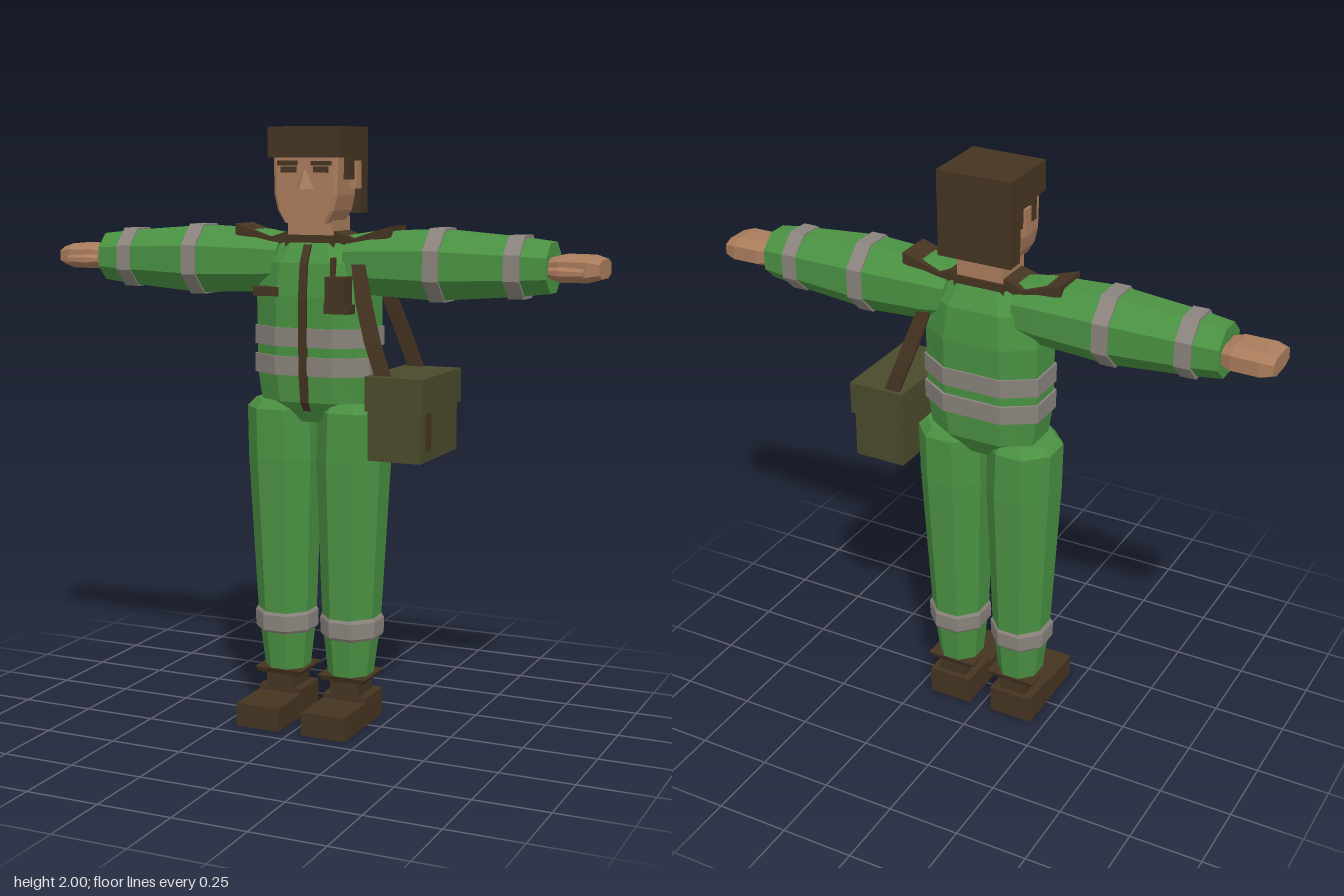
import * as THREE from 'three';

const mat = (name, color) => Object.assign(new THREE.MeshStandardMaterial({ color }), { name });

// Cross-section of half size 1 whose corners are cut by c (0 = square, 1 = diamond)
function ring(c) {
  const k = 1 - c;
  if (c === 0) return [[1, -1], [1, 1], [-1, 1], [-1, -1]];
  if (c === 1) return [[1, 0], [0, 1], [-1, 0], [0, -1]];
  return [[1, -k], [1, k], [k, 1], [-k, 1], [-1, k], [-1, -k], [-k, -1], [k, -1]];
}

// Faceted solid through sections [y, centreX, centreZ, halfX, halfZ], listed upwards
function loft(sections, c = 0.586) {
  const unit = ring(c), n = unit.length, pos = [];
  const rows = sections.map(([y, cx, cz, hx, hz]) => unit.map(([x, z]) => [cx + x * hx, y, cz + z * hz]));
  const tri = (...pts) => pts.forEach(p => pos.push(...p));
  for (let i = 0; i < rows.length - 1; i++) {
    for (let j = 0; j < n; j++) {
      const k = (j + 1) % n, lo = rows[i], hi = rows[i + 1];
      tri(lo[j], hi[j], hi[k]);
      tri(lo[j], hi[k], lo[k]);
    }
  }
  const bottom = rows[0], top = rows[rows.length - 1];
  for (let j = 1; j < n - 1; j++) {
    tri(bottom[0], bottom[j], bottom[j + 1]);
    tri(top[0], top[j + 1], top[j]);
  }
  const g = new THREE.BufferGeometry();
  g.setAttribute('position', new THREE.Float32BufferAttribute(pos, 3));
  g.computeVertexNormals();
  return g;
}

// Box given by its limits
function block(x0, x1, y0, y1, z0, z1) {
  return new THREE.BoxGeometry(x1 - x0, y1 - y0, z1 - z0)
    .translate((x0 + x1) / 2, (y0 + y1) / 2, (z0 + z1) / 2);
}

export function createModel() {
  const green = mat('overall green', 0x4a9142);
  const grey = mat('reflective grey', 0x8a837d);
  const skin = mat('skin', 0xa97b5c);
  const brown = mat('dark brown', 0x453421);
  const olive = mat('bag olive', 0x4a4a2c);

  const model = new THREE.Group();
  model.name = 'worker';
  const add = (name, geometry, material, parent = model) => {
    const m = new THREE.Mesh(geometry, material);
    m.name = name;
    parent.add(m);
    return m;
  };
  const Z = -0.047;

  // Torso with two reflective bands
  add('torso', loft([
    [1.03, 0, Z, 0.09, 0.07], [1.1, 0, Z, 0.185, 0.115], [1.2, 0, Z, 0.2, 0.122],
    [1.45, 0, Z, 0.2, 0.13], [1.56, 0, Z, 0.18, 0.118], [1.625, 0, Z, 0.13, 0.085],
  ], 0.5), green);
  for (const y of [1.19, 1.285]) {
    add('waistBand', loft([[y, 0, Z, 0.207, 0.13], [y + 0.063, 0, Z, 0.207, 0.133]], 0.5), grey);
  }

  // Chest details
  add('zipper', loft([
    [1.07, 0, 0.045, 0.013, 0.008], [1.1, 0, 0.07, 0.013, 0.008], [1.2, 0, 0.085, 0.013, 0.008],
    [1.45, 0, 0.087, 0.013, 0.008], [1.56, 0, 0.075, 0.013, 0.008], [1.62, 0, 0.042, 0.013, 0.008],
  ], 0), brown);
  add('namePatch', block(-0.18, -0.09, 1.45, 1.48, 0.035, 0.088), brown);
  add('radio', block(0.09, 0.16, 1.43, 1.52, 0.05, 0.115), brown);
  add('radioPouch', block(0.08, 0.17, 1.4, 1.43, 0.05, 0.1), brown);
  add('radioAntenna', block(0.095, 0.108, 1.5, 1.58, 0.06, 0.08), brown);

  // Head
  const head = new THREE.Group();
  head.name = 'head';
  model.add(head);
  add('neck', block(-0.08, 0.08, 1.6, 1.71, -0.115, 0.03), skin, head);
  add('neckCollar', block(-0.088, 0.088, 1.61, 1.65, -0.125, 0.035), brown, head);
  add('face', loft([
    [1.69, 0, -0.01, 0.075, 0.08], [1.73, 0, -0.01, 0.1, 0.08],
    [1.78, 0, -0.01, 0.112, 0.08], [1.91, 0, -0.01, 0.115, 0.08],
  ], 0.1), skin, head);
  add('nose', loft([[1.8, 0, 0.07, 0.032, 0.042], [1.86, 0, 0.07, 0.004, 0.004]], 1), skin, head);
  add('hairTop', block(-0.128, 0.128, 1.9, 2, -0.153, 0.08), brown, head);
  add('hairBack', block(-0.127, 0.127, 1.72, 1.9, -0.153, -0.088), brown, head);

  for (const s of [1, -1]) {
    const side = s > 0 ? 'left' : 'right';
    const span = (a, b, ...rest) => block(Math.min(s * a, s * b), Math.max(s * a, s * b), ...rest);

    // Eyes, sideburns and ears
    add(side + 'Eye', span(0.03, 0.085, 1.852, 1.872, 0.065, 0.073), brown, head);
    add(side + 'Brow', span(0.025, 0.095, 1.875, 1.89, 0.065, 0.078), brown, head);
    add(side + 'Sideburn', span(0.1, 0.13, 1.83, 1.9, -0.09, 0.015), brown, head);
    add(side + 'Ear', span(0.1, 0.138, 1.8, 1.89, -0.075, -0.035), skin, head);

    // Arm: lofted upwards, then turned outwards
    const arm = new THREE.Group();
    arm.name = side + 'Arm';
    arm.position.y = 1.56;
    arm.rotation.z = -s * Math.PI / 2;
    model.add(arm);
    add('sleeve', loft([
      [0.12, 0, Z, 0.09, 0.09], [0.2, 0, Z, 0.103, 0.1], [0.43, 0, Z, 0.113, 0.113],
      [0.7, 0, Z, 0.092, 0.096], [0.805, 0, Z, 0.08, 0.084],
    ]), green, arm);
    for (const [y, r] of [[0.408, 0.118], [0.67, 0.1]]) {
      add('sleeveBand', loft([[y, 0, Z, r, r], [y + 0.053, 0, Z, r, r]]), grey, arm);
    }
    add('hand', loft([
      [0.79, 0, Z, 0.03, 0.06], [0.84, 0, Z, 0.043, 0.08],
      [0.93, 0, Z, 0.042, 0.083], [0.97, 0, Z, 0.03, 0.07],
    ], 0.45), skin, arm);
    add('thumb', loft([
      [0.81, s * 0.01, 0.02, 0.015, 0.02], [0.85, s * 0.012, 0.032, 0.02, 0.02],
      [0.925, s * 0.012, 0.03, 0.015, 0.016],
    ]), skin, arm);
    add('collarWing', loft([
      [0.07, -s * 0.09, Z, 0.016, 0.062], [0.15, -s * 0.065, Z, 0.016, 0.066],
      [0.28, -s * 0.105, Z, 0.018, 0.066],
    ], 0), brown, arm);

    // Trouser leg, ankle and shoe
    const leg = new THREE.Group();
    leg.name = side + 'Leg';
    model.add(leg);
    const x = s * 0.122;
    add('trouserLeg', loft([
      [0.15, s * 0.118, Z, 0.07, 0.075], [0.34, s * 0.12, Z, 0.091, 0.096],
      [0.9, s * 0.126, Z, 0.115, 0.122], [1.07, s * 0.13, Z, 0.115, 0.12],
      [1.1, s * 0.127, Z, 0.09, 0.1],
    ]), green, leg);
    add('legBand', loft([
      [0.295, x, Z, 0.093, 0.095], [0.305, x, Z, 0.099, 0.102],
      [0.358, x, Z, 0.1, 0.103], [0.37, x, Z, 0.094, 0.096],
    ]), grey, leg);
    add('bootCuff', loft([[0.147, s * 0.118, Z, 0.075, 0.075], [0.165, s * 0.118, Z, 0.088, 0.083]], 0), brown, leg);
    add('ankle', span(0.07, 0.17, 0.08, 0.155, -0.112, 0.018), brown, leg);
    add('shoe', span(0.042, 0.2, 0, 0.08, -0.13, 0.192), brown, leg);
    add('shoeHeel', span(0.042, 0.2, 0.08, 0.096, -0.13, 0.015), brown, leg);
  }

  // Shoulder bag with its strap
  const bag = new THREE.Group();
  bag.name = 'shoulderBag';
  model.add(bag);
  add('bagBody', block(0.262, 0.443, 0.94, 1.12, -0.175, 0.158), olive, bag);
  add('bagLid', block(0.253, 0.453, 1.1, 1.212, -0.185, 0.165), olive, bag);
  add('bagBuckle', block(0.44, 0.45, 0.975, 1.1, 0.08, 0.118), brown, bag);
  add('frontStrap', loft([
    [1.2, 0.305, 0.13, 0.027, 0.006], [1.32, 0.26, 0.12, 0.027, 0.006],
    [1.44, 0.22, 0.095, 0.027, 0.006], [1.56, 0.185, 0.06, 0.022, 0.006],
  ], 0), brown, bag);
  add('backStrap', loft([
    [1.2, 0.305, -0.165, 0.027, 0.006], [1.32, 0.26, -0.155, 0.027, 0.006],
    [1.42, 0.225, -0.138, 0.027, 0.006], [1.53, 0.19, -0.12, 0.022, 0.006],
  ], 0), brown, bag);

  return model;
}
